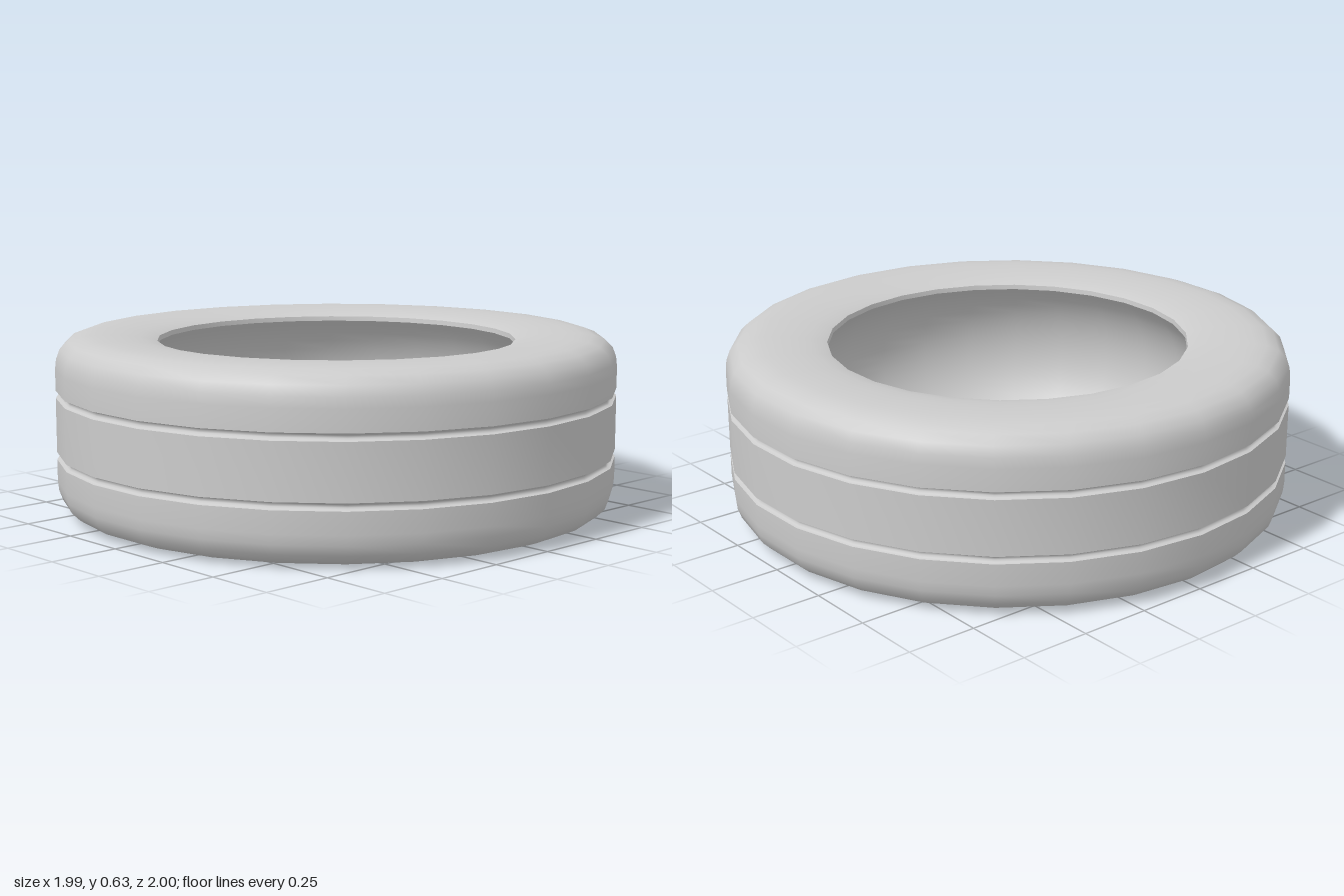
import * as THREE from 'three';
import { toCreasedNormals } from 'three/addons/utils/BufferGeometryUtils.js';

const SEGMENTS = 26;
const MID = 0.3175; // height of the tread centre line

// Upper half of the tyre section as [radius, height above the centre line],
// running from the tread, over the side wall and lip, into the hollow.
const half = [
  // tread with one soft-bottomed groove
  [1, 0.097], [0.988, 0.1], [0.983, 0.106], [0.983, 0.114], [0.988, 0.12], [1, 0.123],
  // rounded shoulder
  [1, 0.2], [0.996, 0.235], [0.983, 0.27], [0.955, 0.297], [0.915, 0.312], [0.87, 0.317],
  // side wall sloping gently down to the lip
  [0.82, 0.3175], [0.76, 0.315], [0.7, 0.308], [0.66, 0.3], [0.64, 0.293],
];

// Shallow hollow inside: a circular arc from the lip's inner edge to the middle
const LIP_RADIUS = 0.638, LIP_HEIGHT = 0.276, DEPTH = 0.13, STEPS = 8;
const arcRadius = (LIP_HEIGHT ** 2 + DEPTH ** 2) / (2 * DEPTH);
const arcAngle = Math.asin(LIP_HEIGHT / arcRadius);
for (let i = STEPS; i > 0; i--) {
  const a = (i / STEPS) * arcAngle;
  half.push([LIP_RADIUS + DEPTH - arcRadius * (1 - Math.cos(a)), arcRadius * Math.sin(a)]);
}

export function createModel() {
  const group = new THREE.Group();
  group.name = 'tyre';

  // Mirror the half section about the centre line and close the loop
  const upper = half.map(([r, h]) => new THREE.Vector2(r, MID + h));
  const lower = half.map(([r, h]) => new THREE.Vector2(r, MID - h)).reverse();
  const back = new THREE.Vector2(LIP_RADIUS + DEPTH, MID);
  const section = [back, ...lower, ...upper, back.clone()];

  const geometry = toCreasedNormals(new THREE.LatheGeometry(section, SEGMENTS), 0.75);
  const tyre = new THREE.Mesh(
    geometry,
    new THREE.MeshStandardMaterial({ color: 0xcccccc, side: THREE.DoubleSide })
  );
  tyre.name = 'tyreBody';
  group.add(tyre);
  return group;
}
